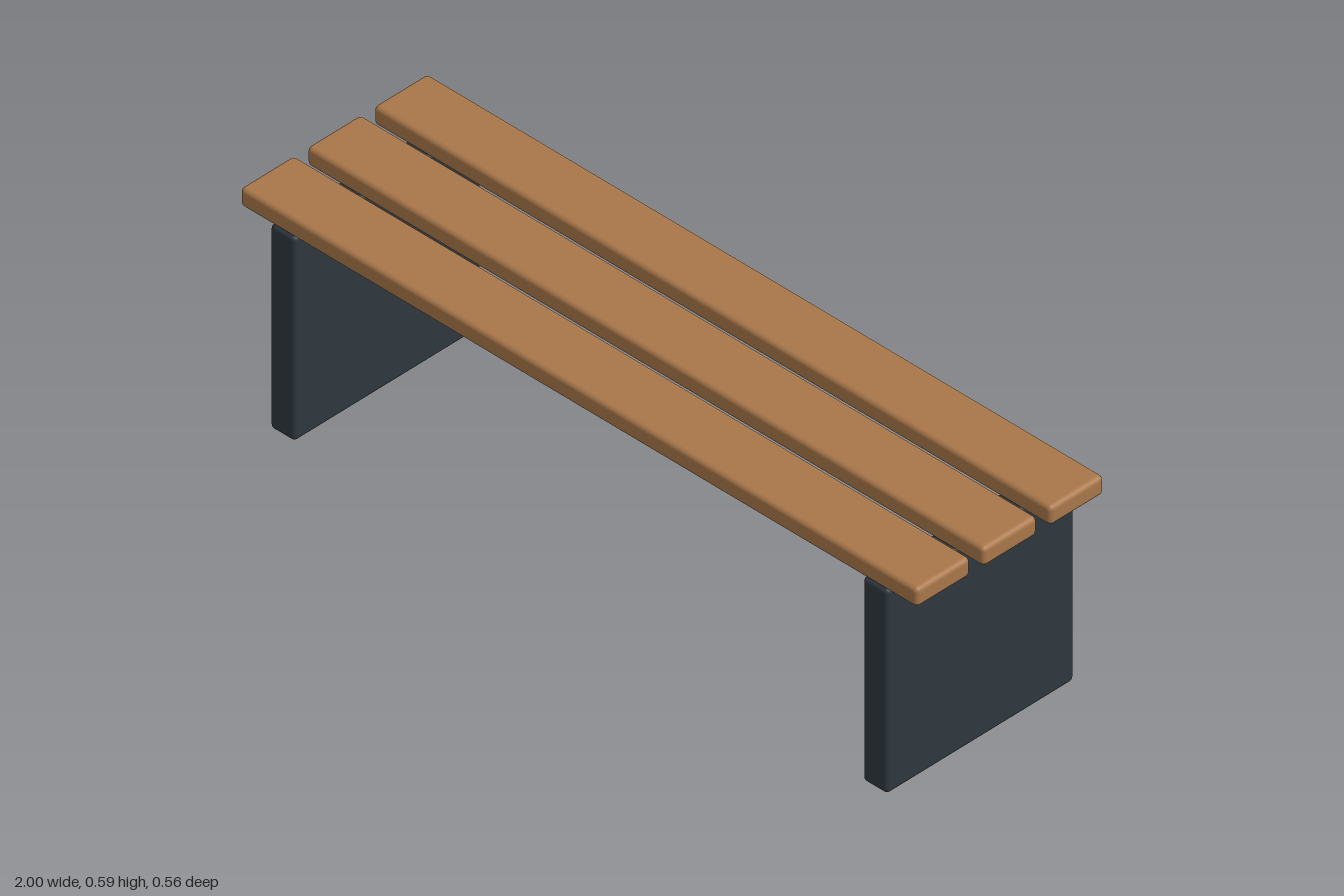
import * as THREE from 'three';
import { RoundedBoxGeometry } from 'three/addons/geometries/RoundedBoxGeometry.js';

export function createModel() {
  const bench = new THREE.Group();
  bench.name = 'bench';

  const wood = new THREE.MeshStandardMaterial({ color: 0xa9774a });
  wood.name = 'wood';
  const darkMetal = new THREE.MeshStandardMaterial({ color: 0x2e383f });
  darkMetal.name = 'dark metal';

  const legHeight = 0.539;
  const slatThickness = 0.05;

  function addBlock(name, size, position, material) {
    const mesh = new THREE.Mesh(new RoundedBoxGeometry(...size, 4, 0.012), material);
    mesh.name = name;
    mesh.position.set(...position);
    bench.add(mesh);
  }

  // Three seat slats running the full length
  ['backSlat', 'middleSlat', 'frontSlat'].forEach((name, i) => {
    addBlock(name, [2, slatThickness, 0.162],
      [0, legHeight + slatThickness / 2, (i - 1) * 0.2], wood);
  });

  // Solid panel leg at each end
  for (const side of [-1, 1]) {
    addBlock(side > 0 ? 'leftLegPanel' : 'rightLegPanel',
      [0.074, legHeight, 0.562], [side * 0.875, legHeight / 2, 0], darkMetal);
  }

  return bench;
}
